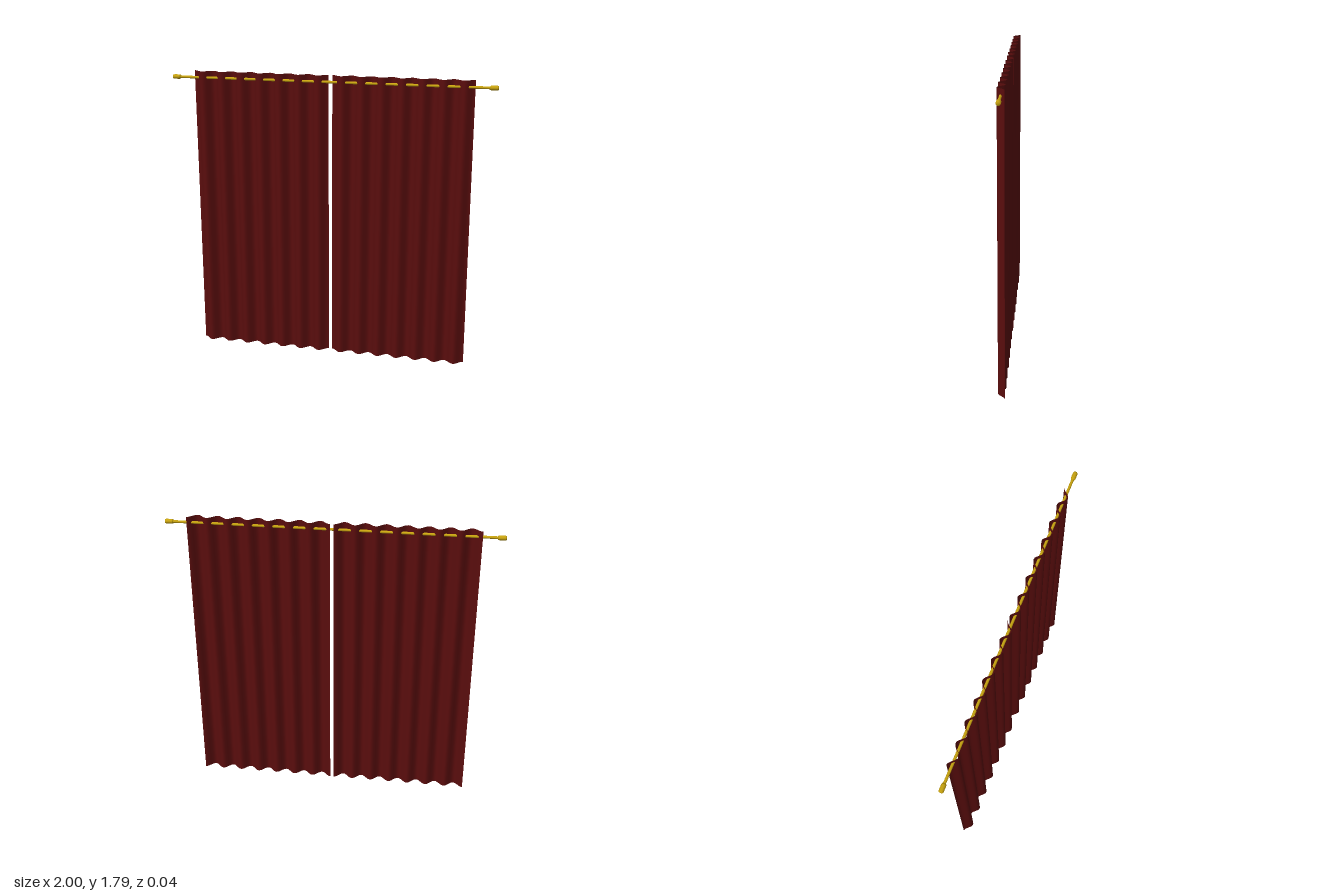
import * as THREE from 'three';

const TOP = 1.79, ROD_Y = 1.75;
const INNER = 0.011, OUTER = 0.865, FOLDS = 7, DEPTH = 0.022;

export function createModel() {
  const model = new THREE.Group();
  model.name = 'curtains';
  const cloth = new THREE.MeshStandardMaterial({ color: 0x5a0d0d, side: THREE.DoubleSide });
  cloth.name = 'dark red cloth';
  const brass = new THREE.MeshStandardMaterial({ color: 0xc9a40f });
  brass.name = 'brass';

  // Pleated panels: a plane pushed into waves, both edges behind the rod
  const width = OUTER - INNER;
  for (const side of [-1, 1]) {
    const geo = new THREE.PlaneGeometry(width, TOP, FOLDS * 12, 1);
    const pos = geo.attributes.position;
    for (let i = 0; i < pos.count; i++) {
      const t = pos.getX(i) / width + 0.5;
      pos.setZ(i, -DEPTH * Math.cos(t * FOLDS * Math.PI * 2));
    }
    geo.computeVertexNormals();
    const panel = new THREE.Mesh(geo, cloth);
    panel.name = side < 0 ? 'rightPanel' : 'leftPanel';
    panel.position.set(side * (INNER + OUTER) / 2, TOP / 2, 0);
    model.add(panel);
  }

  // Rod threaded through the folds
  const rod = new THREE.Mesh(new THREE.CylinderGeometry(0.008, 0.008, 1.92, 10), brass);
  rod.name = 'rod';
  rod.rotation.z = Math.PI / 2;
  rod.position.y = ROD_Y;
  model.add(rod);

  // Finials: short knobs with slightly narrowed ends
  const profile = [[0, 0], [0.011, 0], [0.014, 0.008], [0.014, 0.043], [0.011, 0.05], [0, 0.05]]
    .map(([r, y]) => new THREE.Vector2(r, y));
  const finialGeo = new THREE.LatheGeometry(profile, 10);
  for (const side of [-1, 1]) {
    const finial = new THREE.Mesh(finialGeo, brass);
    finial.name = side < 0 ? 'rightFinial' : 'leftFinial';
    finial.rotation.z = -side * Math.PI / 2;
    finial.position.set(side * 0.95, ROD_Y, 0);
    model.add(finial);
  }
  return model;
}
